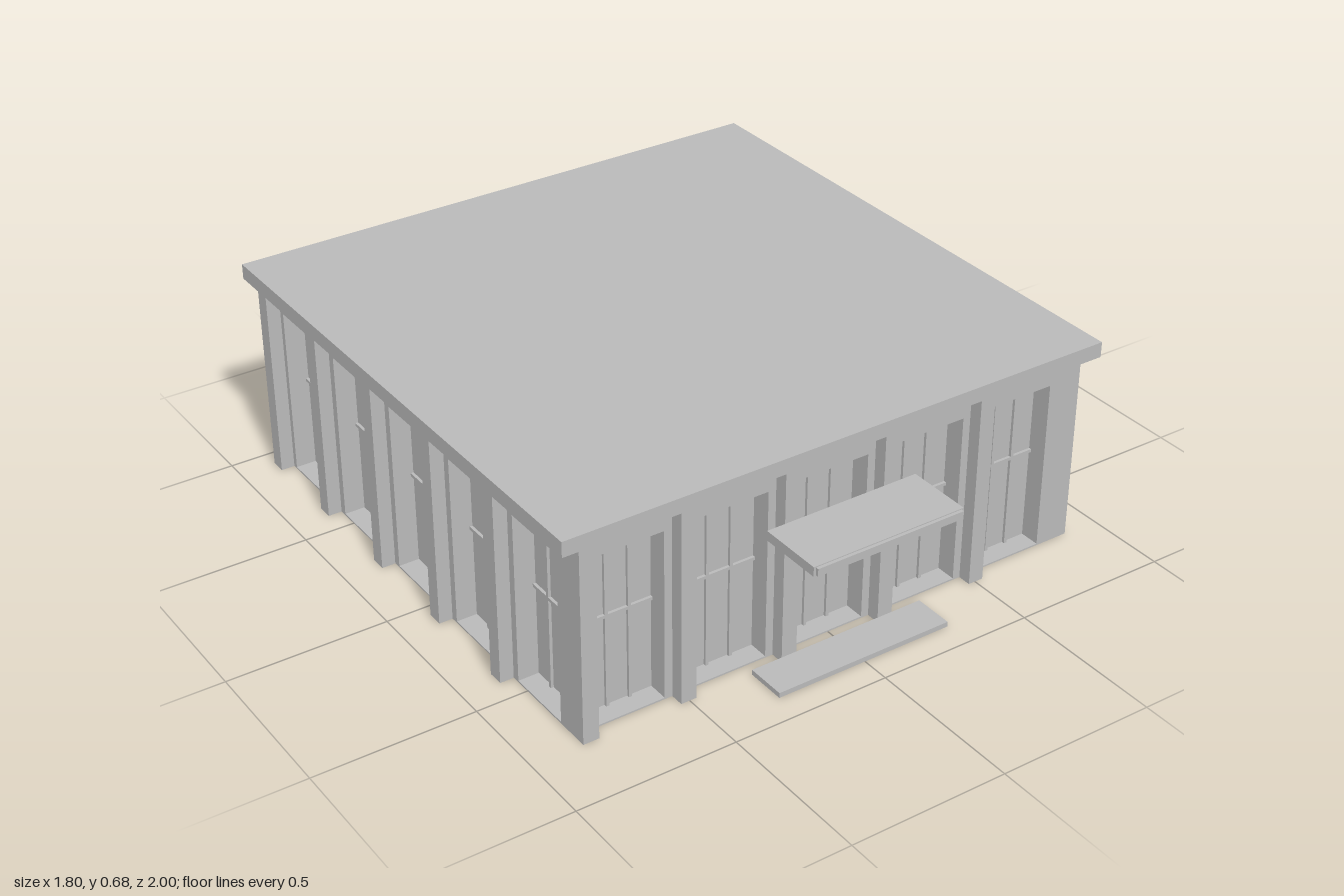
import * as THREE from 'three';

const HALF = 0.84;      // half width of the wall body
const THICK = 0.065;    // wall thickness, also the window recess
const WALL_H = 0.627;
const HEAD = 0.545;     // top of the window openings
const SILL = 0.005;
const BAY = 0.335;      // window spacing

export function createModel() {
  const model = new THREE.Group();
  model.name = 'pavilion';
  const grey = new THREE.MeshStandardMaterial({ color: 0xbababa });
  grey.name = 'paleGrey';

  // Box given by its limits on each axis
  function box(parent, name, x0, x1, y0, y1, z0, z1) {
    const mesh = new THREE.Mesh(new THREE.BoxGeometry(x1 - x0, y1 - y0, z1 - z0), grey);
    mesh.position.set((x0 + x1) / 2, (y0 + y1) / 2, (z0 + z1) / 2);
    mesh.name = name;
    parent.add(mesh);
    return mesh;
  }

  // The main block sits a little behind the origin, leaving room for the entrance
  const building = new THREE.Group();
  building.name = 'building';
  building.position.z = -0.1;
  model.add(building);

  const core = HALF - THICK;
  box(building, 'floorSlab', -HALF, HALF, 0, SILL, -HALF, HALF);
  box(building, 'glazingCore', -core, core, SILL, WALL_H, -core, core);
  box(building, 'roof', -0.9, 0.9, 0.627, 0.675, -0.9, 0.9);

  // Openings, the outer two cut short by the corners
  const openings = [-2, -1, 0, 1, 2].map((i) => [
    Math.max(i * BAY - 0.1175, -0.772),
    Math.min(i * BAY + 0.1175, 0.772),
  ]);

  // One side: pierced wall, glazing bars and pillars, facing local +z
  function createSide(name, plainBay) {
    const side = new THREE.Group();
    side.name = name;

    const shape = new THREE.Shape();
    shape.moveTo(-HALF, SILL);
    // Openings reach the floor, so the outline steps around them
    for (const [a, b] of openings) {
      shape.lineTo(a, SILL);
      shape.lineTo(a, HEAD);
      shape.lineTo(b, HEAD);
      shape.lineTo(b, SILL);
    }
    shape.lineTo(HALF, SILL);
    shape.lineTo(HALF, WALL_H);
    shape.lineTo(-HALF, WALL_H);
    shape.closePath();
    const wall = new THREE.Mesh(
      new THREE.ExtrudeGeometry(shape, { depth: THICK, bevelEnabled: false }), grey);
    wall.position.z = core;
    wall.name = 'wall';
    side.add(wall);

    // Two upright bars and one crossbar per window
    openings.forEach(([a, b], i) => {
      if (i === plainBay) return;
      for (const t of [1 / 3, 2 / 3]) {
        const x = a + (b - a) * t;
        box(side, 'windowBar', x - 0.005, x + 0.005, SILL, HEAD, core, core + 0.009);
      }
      box(side, 'windowCrossbar', a, b, 0.295, 0.305, core, core + 0.009);
    });

    // Pillars; the first stands flush with the corner
    for (const x of [-0.815, -1.5 * BAY, -0.5 * BAY, 0.5 * BAY, 1.5 * BAY]) {
      box(side, 'pillar', x - 0.025, x + 0.025, 0, WALL_H, HALF, 0.883);
    }
    return side;
  }

  ['frontSide', 'leftSide', 'backSide', 'rightSide'].forEach((name, i) => {
    const side = createSide(name, name === 'backSide' ? 1 : -1);
    side.rotation.y = i * Math.PI / 2;
    building.add(side);
  });

  // Entrance
  box(model, 'canopy', -0.252, 0.252, 0.427, 0.457, 0.783, 0.99);
  box(model, 'canopyFascia', -0.245, 0.245, 0.43, 0.454, 0.99, 1.0);
  box(model, 'entranceStep', -0.293, 0.293, 0, 0.016, 0.783, 0.91);

  return model;
}
